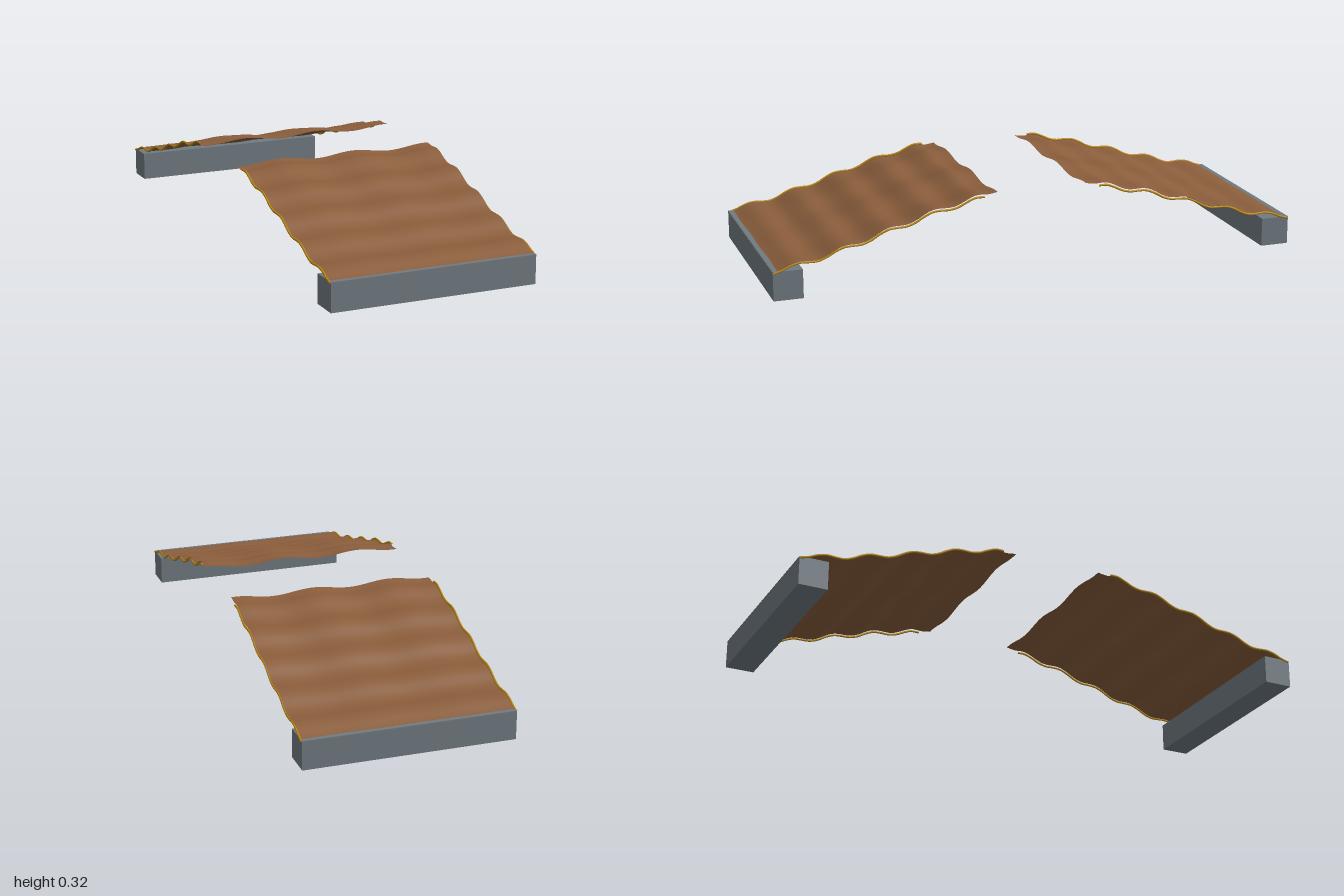
import * as THREE from 'three';

const INNER = 0.17, OUTER = 1.0, HALF = 0.388;

// Height of the ramp at distance d from the middle, with ripples along its length
function slope(d) {
  const t = (OUTER - d) / (OUTER - INNER);
  const base = 0.111 + 0.1 * t + 0.1 * t * t * (3 - 2 * t);
  const fade = 1 - THREE.MathUtils.smoothstep(t, 0.9, 1);
  return base + 0.008 * fade * Math.sin((Math.PI * 2 * (0.29 - d)) / 0.166);
}

// Sideways ripple, growing toward the broken inner edge
function ripple(x, d) {
  const t = Math.max(0, (OUTER - d) / (OUTER - INNER));
  return 0.0075 * Math.pow(t, 0.8) * Math.cos((Math.PI * 2 * (x - 0.077)) / 0.298);
}

function add(parent, name, geometry, material) {
  const mesh = new THREE.Mesh(geometry, material);
  mesh.name = name;
  parent.add(mesh);
  return mesh;
}

export function createModel() {
  const model = new THREE.Group();
  model.name = 'brokenRampBridge';
  const deckMat = new THREE.MeshStandardMaterial({ color: 0x8b5e3c, side: THREE.DoubleSide });
  const stoneMat = new THREE.MeshStandardMaterial({ color: 0x707a82 });
  const railMat = new THREE.MeshStandardMaterial({ color: 0xb8860b });

  for (const s of [1, -1]) {
    const half = new THREE.Group();
    half.name = s > 0 ? 'frontRamp' : 'backRamp';
    model.add(half);

    // Rippled deck sheet
    const deck = new THREE.PlaneGeometry(HALF * 2, OUTER - INNER, 48, 80);
    deck.rotateX(-Math.PI / 2);
    deck.translate(0, 0, (s * (OUTER + INNER)) / 2);
    const p = deck.attributes.position;
    for (let i = 0; i < p.count; i++) {
      const d = Math.abs(p.getZ(i));
      p.setY(i, slope(d) + ripple(p.getX(i), d));
    }
    deck.computeVertexNormals();
    add(half, 'deck', deck, deckMat);

    // Footing block under the outer end
    const footing = add(half, 'footing', new THREE.BoxGeometry(HALF * 2, 0.107, 0.108), stoneMat);
    footing.position.set(0, 0.0535, s * 0.945);

    // Thin edge rails
    for (const side of [1, -1]) {
      const points = [];
      for (let i = 0; i <= 24; i++) {
        const d = 0.997 - (0.777 * i) / 24;
        points.push(new THREE.Vector3(side * 0.388, slope(d) - 0.002, s * d));
      }
      const rail = new THREE.TubeGeometry(new THREE.CatmullRomCurve3(points), 72, 0.004, 8);
      add(half, side > 0 ? 'leftRail' : 'rightRail', rail, railMat);
    }
  }
  return model;
}
